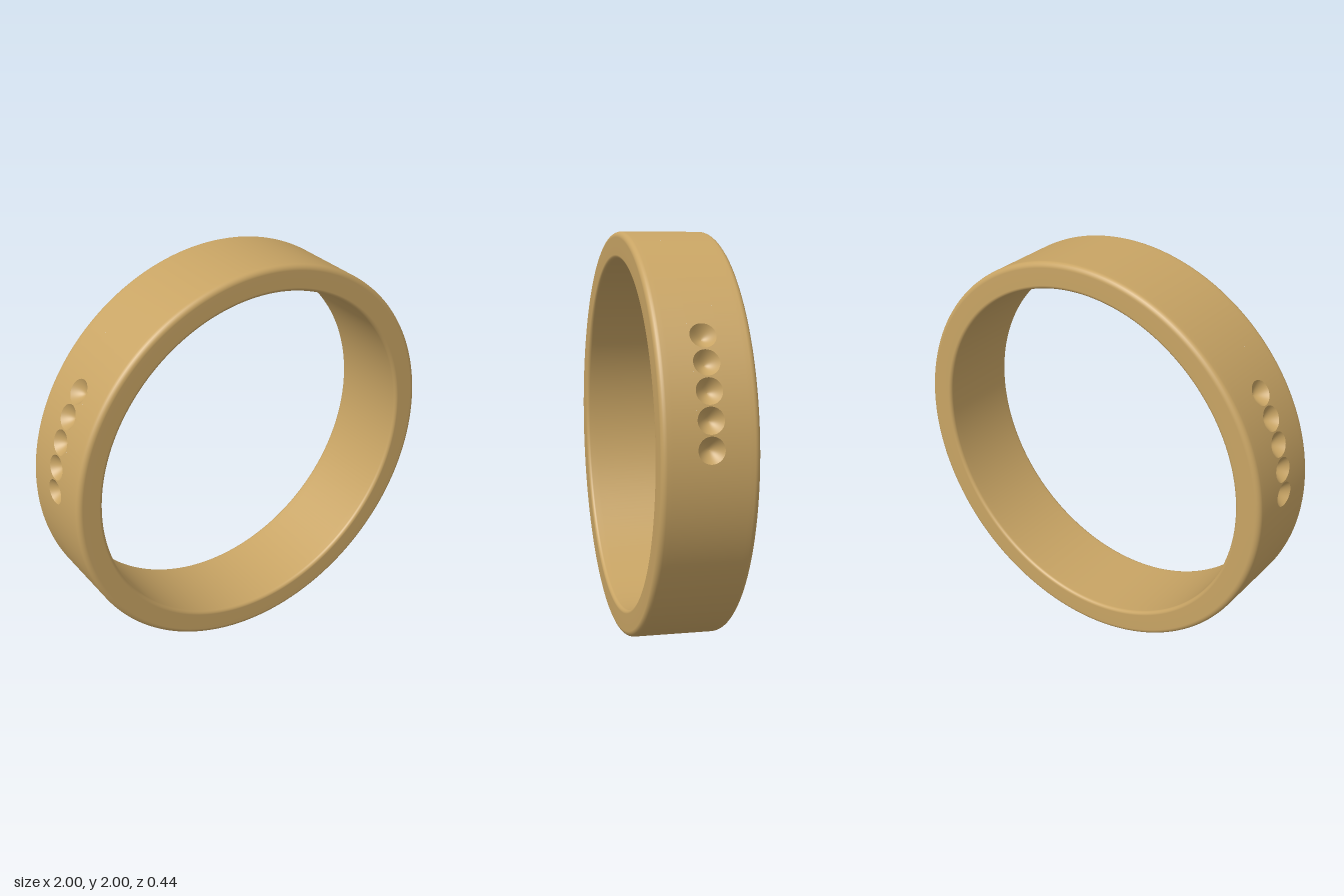
import * as THREE from 'three';
import { ParametricGeometry } from 'three/addons/geometries/ParametricGeometry.js';

const OUTER = 1, INNER = 0.87, HALF_WIDTH = 0.22;
const DIMPLES = 5, DIMPLE_R = 0.06, DIMPLE_DEPTH = 0.045;
const STEP = THREE.MathUtils.degToRad(7.3); // angle between dimples
const FIRST = STEP / 2;                     // centre of the lowest dimple
const CELL = STEP / 2 * OUTER;              // half size of the square around a dimple

// Revolve a (radius, z) profile round the z axis, from angle a0 (measured from +x)
function revolve(points, a0 = 0, sweep = Math.PI * 2) {
  const segments = Math.max(8, Math.ceil(sweep / (Math.PI * 2) * 240));
  const g = new THREE.LatheGeometry(points, segments, a0 + Math.PI / 2, sweep);
  return g.rotateX(Math.PI / 2);
}

// Point on the outer wall: arc offset u, width offset v, sunk by depth
function onWall(centre, u, v, depth, target) {
  const a = centre + u / OUTER, r = OUTER - depth;
  target.set(r * Math.cos(a), r * Math.sin(a), v);
}

// Rounded corner of the band section
function fillet(r, z, radius, start) {
  const pts = [];
  for (let i = 0; i <= 6; i++) {
    const a = start + (i / 6) * Math.PI / 2;
    pts.push(new THREE.Vector2(r + radius * Math.cos(a), z + radius * Math.sin(a)));
  }
  return pts;
}

export function createModel() {
  const ring = new THREE.Group();
  ring.name = 'ring';
  const gold = new THREE.MeshStandardMaterial({ color: 0xc8a464 });
  const add = (name, geometry) => {
    const mesh = new THREE.Mesh(geometry, gold);
    mesh.name = name;
    ring.add(mesh);
  };

  // Band section, leaving the dimple strip in the middle of the outer wall open
  const fo = 0.027, fi = 0.018, P = Math.PI;
  const V = (r, z) => new THREE.Vector2(r, z);
  add('band', revolve([
    V(OUTER, CELL), V(OUTER, 0.17),
    ...fillet(OUTER - fo, HALF_WIDTH - fo, fo, 0),
    ...fillet(INNER + fi, HALF_WIDTH - fi, fi, P / 2),
    V(INNER, 0.17), V(INNER, -0.17),
    ...fillet(INNER + fi, -HALF_WIDTH + fi, fi, P),
    ...fillet(OUTER - fo, -HALF_WIDTH + fo, fo, P * 1.5),
    V(OUTER, -0.17), V(OUTER, -CELL),
  ]));

  // Plain stretches of the middle strip, above and below the dimple rows
  const strip = [V(OUTER, -CELL), V(OUTER, CELL)];
  const rowEnd = DIMPLES * STEP;
  add('upperStrip', revolve(strip, rowEnd, P - 2 * rowEnd));
  add('lowerStrip', revolve(strip, P, P));

  // Two mirrored rows of dimples, each a bowl in a square piece of wall
  for (const side of ['left', 'right']) {
    for (let i = 0; i < DIMPLES; i++) {
      const angle = FIRST + i * STEP;
      const centre = side === 'left' ? angle : P - angle;

      add(side + 'DimpleSurround', new ParametricGeometry((u, v, target) => {
        const a = v * P * 2, c = Math.cos(a), s = Math.sin(a);
        const edge = CELL / Math.max(Math.abs(c), Math.abs(s));
        const r = THREE.MathUtils.lerp(DIMPLE_R, edge, u);
        onWall(centre, r * c, r * s, 0, target);
      }, 2, 48));

      add(side + 'Dimple', new ParametricGeometry((u, v, target) => {
        const a = v * P * 2, t = Math.max(u, 0.002);
        const r = DIMPLE_R * t;
        onWall(centre, r * Math.cos(a), r * Math.sin(a), DIMPLE_DEPTH * (1 - t ** 1.7), target);
      }, 10, 48));
    }
  }

  ring.position.y = OUTER;
  const model = new THREE.Group();
  model.add(ring);
  return model;
}
